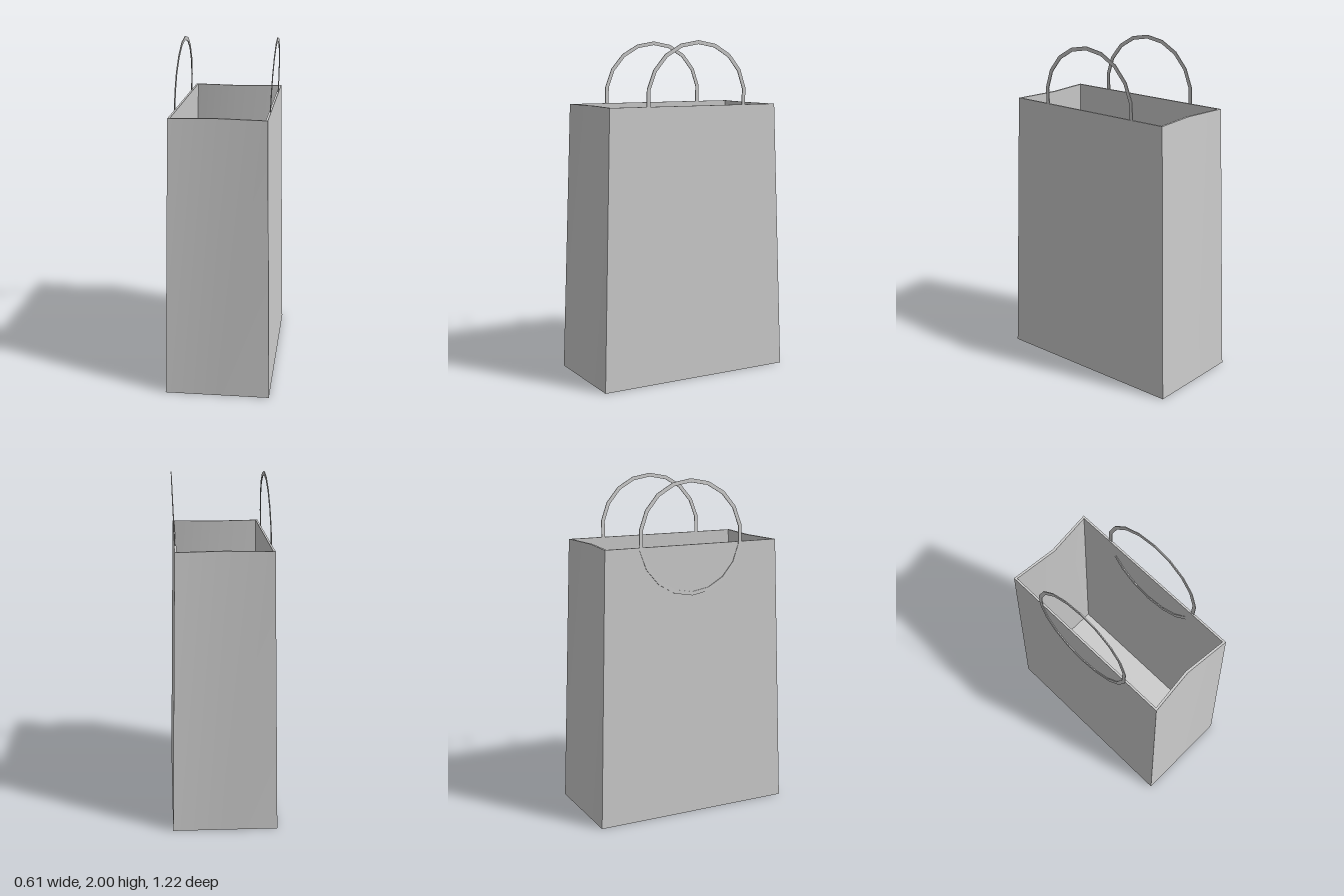
import * as THREE from 'three';
import { toCreasedNormals } from 'three/addons/utils/BufferGeometryUtils.js';

const HEIGHT = 1.625;
const material = new THREE.MeshStandardMaterial({ color: 0xcccccc });

// Six-point outline: four corners plus the fold in the middle of each narrow end
function outline(y, x, z, foldZ) {
  return [[x, y, z], [x, y, -z], [0, y, -foldZ], [-x, y, -z], [-x, y, z], [0, y, foldZ]];
}

// One continuous paper shell: outside, rim, inside, closed at both ends
function bagGeometry() {
  const rings = [
    outline(0, 0.303, 0.608, 0.608),
    outline(HEIGHT, 0.275, 0.552, 0.525),
    outline(HEIGHT, 0.263, 0.538, 0.51),
    outline(0.012, 0.291, 0.596, 0.596),
  ];
  const n = rings[0].length;
  const index = [];
  for (let r = 0; r < rings.length - 1; r++) {
    for (let i = 0; i < n; i++) {
      const j = (i + 1) % n;
      const a = r * n + i, b = r * n + j, c = b + n, d = a + n;
      index.push(a, b, c, a, c, d);
    }
  }
  // Underside and inner floor, fanned from the front fold point
  const last = (rings.length - 1) * n;
  for (let i = 0; i < n - 2; i++) {
    index.push(n - 1, i + 1, i);
    index.push(last + n - 1, last + i, last + i + 1);
  }
  const geometry = new THREE.BufferGeometry();
  geometry.setAttribute('position', new THREE.Float32BufferAttribute(rings.flat(2), 3));
  geometry.setIndex(index);
  return toCreasedNormals(geometry, 0.5);
}

// Flat 18-sided loop, lying in the plane of the broad sides
function handleGeometry() {
  const polygon = (radius) => Array.from({ length: 18 }, (_, i) => {
    const a = Math.PI / 2 + (i * Math.PI) / 9;
    return new THREE.Vector2(radius * Math.cos(a), radius * Math.sin(a));
  });
  const shape = new THREE.Shape(polygon(0.335));
  shape.holes.push(new THREE.Path(polygon(0.313)));
  const depth = 0.005;
  const geometry = new THREE.ExtrudeGeometry(shape, { depth, bevelEnabled: false });
  return geometry.translate(0, 0, -depth / 2).rotateY(Math.PI / 2);
}

export function createModel() {
  const group = new THREE.Group();
  group.name = 'shoppingBag';

  const bag = new THREE.Mesh(bagGeometry(), material);
  bag.name = 'bagBody';
  group.add(bag);

  // Both loops lean the same way and run on below the rim
  const loop = handleGeometry();
  for (const [name, x] of [['leftHandle', 0.272], ['rightHandle', -0.273]]) {
    const handle = new THREE.Mesh(loop, material);
    handle.name = name;
    handle.position.set(x, 1.665, -0.012);
    handle.rotation.z = -0.036;
    group.add(handle);
  }
  return group;
}
